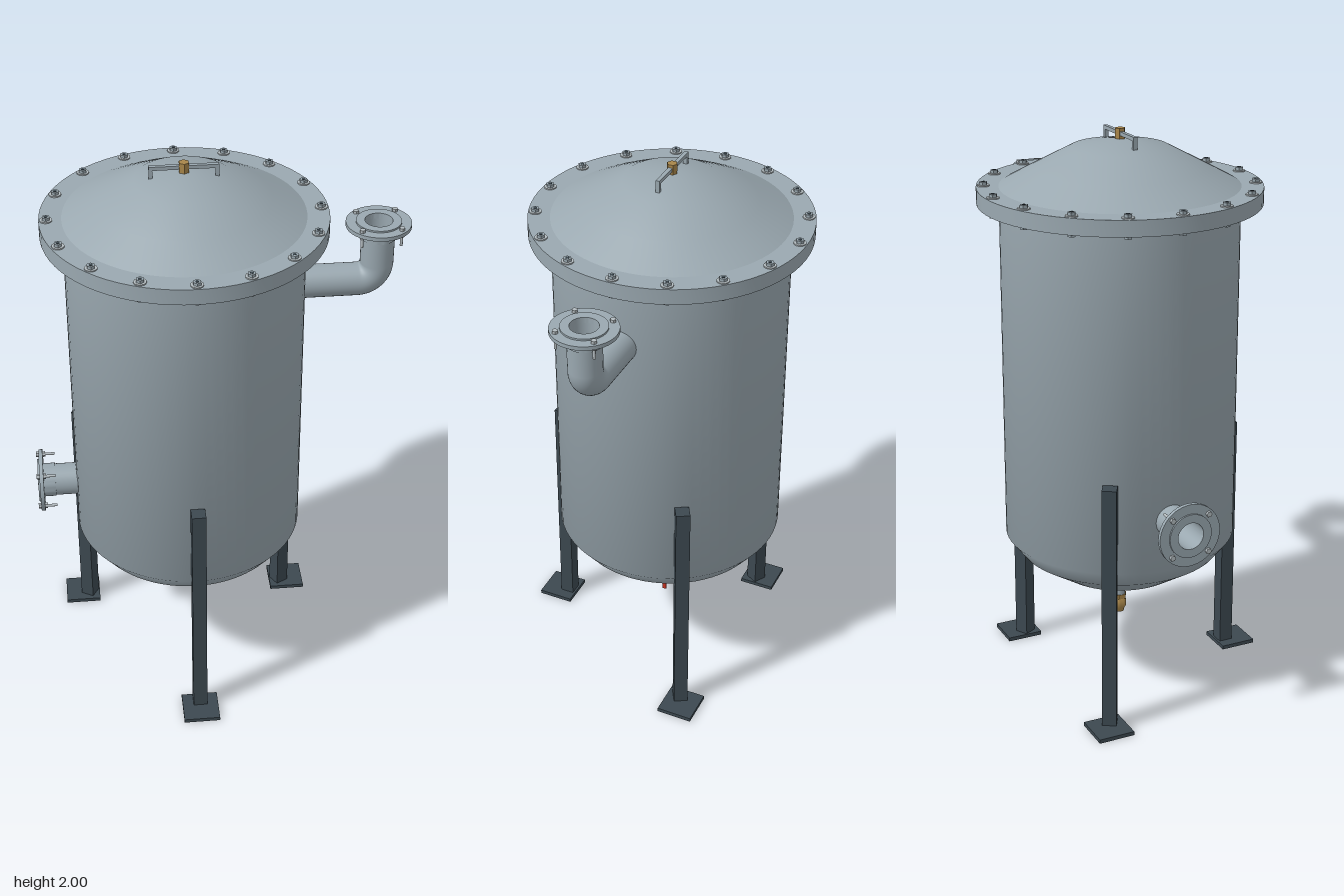
import * as THREE from 'three';
import { toCreasedNormals } from 'three/addons/utils/BufferGeometryUtils.js';

const mat = (color, side = THREE.FrontSide) => {
  const m = new THREE.MeshStandardMaterial({ side });
  m.color.set(color);
  return m;
};
const steel = mat(0x9aa8b0);
const steelThin = mat(0x9aa8b0, THREE.DoubleSide);
const boltSteel = mat(0xb4bcc0);
const legPaint = mat(0x3c4850);
const brass = mat(0xa8864a);
const red = mat(0xc03020);

const CX = -0.107, CZ = -0.025; // tank axis

function add(parent, name, geometry, material, x = 0, y = 0, z = 0) {
  const mesh = new THREE.Mesh(geometry, material);
  mesh.name = name;
  mesh.position.set(x, y, z);
  parent.add(mesh);
  return mesh;
}
const cyl = (r, h, n = 24) => new THREE.CylinderGeometry(r, r, h, n);
const box = (w, h, d) => new THREE.BoxGeometry(w, h, d);
const hex = (r, h) => toCreasedNormals(cyl(r, h, 6), 0.5);
function lathe(points, crease = 0.7, n = 64) {
  const g = new THREE.LatheGeometry(points.map(([r, y]) => new THREE.Vector2(r, y)), n);
  return toCreasedNormals(g, crease);
}

// Pipe flange facing +y, with its mating face at y = 0
function pipeFlange(name) {
  const g = new THREE.Group();
  g.name = name;
  add(g, 'flangePlate', lathe([
    [0.047, -0.06], [0.06, -0.06], [0.06, -0.018], [0.111, -0.018], [0.111, -0.004],
    [0.077, -0.004], [0.077, 0.002], [0.047, 0.002], [0.047, -0.06],
  ], 0.7, 48), steel);
  for (let i = 0; i < 4; i++) {
    const a = Math.PI / 4 + i * Math.PI / 2;
    const x = Math.cos(a) * 0.094, z = Math.sin(a) * 0.094;
    add(g, 'flangeStud', cyl(0.005, 0.062, 10), boltSteel, x, -0.03, z);
    add(g, 'flangeBoltHead', hex(0.01, 0.01), boltSteel, x, 0.001, z);
    add(g, 'flangeNut', hex(0.01, 0.009), boltSteel, x, -0.0225, z);
  }
  return g;
}

export function createModel() {
  const model = new THREE.Group();
  model.name = 'filterVessel';
  const tank = new THREE.Group();
  tank.name = 'tank';
  tank.position.set(CX, 0, CZ);
  model.add(tank);

  // Shell with dished bottom
  add(tank, 'shell', lathe([
    [0, 0.397], [0.225, 0.415], [0.355, 0.5], [0.405, 0.565], [0.405, 1.755],
  ], 1.2, 72), steelThin);

  // Lid: flat rim and shallow dome
  add(tank, 'rim', lathe([
    [0.40, 1.755], [0.48, 1.755], [0.48, 1.81], [0.39, 1.81],
  ], 0.7, 72), steelThin);
  add(tank, 'dome', lathe([
    [0.405, 1.81], [0.29, 1.872], [0.165, 1.938], [0, 1.968],
  ], 1, 72), steel);

  // Rim bolts
  for (let i = 0; i < 16; i++) {
    const a = i * Math.PI / 8;
    const bolt = new THREE.Group();
    bolt.name = 'rimBolt';
    bolt.position.set(Math.cos(a) * 0.455, 0, Math.sin(a) * 0.455);
    tank.add(bolt);
    add(bolt, 'washer', cyl(0.021, 0.004, 20), boltSteel, 0, 1.812, 0);
    add(bolt, 'boltHead', hex(0.014, 0.012), steel, 0, 1.818, 0);
    add(bolt, 'boltTip', cyl(0.006, 0.002, 12), legPaint, 0, 1.8245, 0);
    add(bolt, 'nut', hex(0.014, 0.01), steel, 0, 1.75, 0);
  }

  // Lid handle and brass vent plug
  add(tank, 'handleBar', box(0.23, 0.013, 0.014), steel, 0, 1.983, 0);
  for (const s of [-1, 1]) add(tank, 'handlePost', box(0.012, 0.046, 0.014), steel, s * 0.109, 1.966, 0);
  add(tank, 'ventPlug', hex(0.018, 0.038), brass, 0, 1.981, 0);

  // Legs set around the tank, with square feet aligned to the axes
  for (let i = 0; i < 3; i++) {
    const a = i * Math.PI * 2 / 3;
    const leg = add(tank, 'leg', box(0.05, 0.88, 0.05), legPaint, Math.sin(a) * 0.434, 0.452, Math.cos(a) * 0.434);
    leg.rotation.y = a;
    add(tank, 'foot', box(0.13, 0.014, 0.13), legPaint, Math.sin(a) * 0.466, 0.007, Math.cos(a) * 0.466);
  }

  // Upper outlet: pipe with an elbow up to a flange
  const ex = 0.545, ey = 1.527, R = 0.065, k = R * 0.448;
  const v = (x, y) => new THREE.Vector3(x, y, CZ);
  const path = new THREE.CurvePath();
  path.add(new THREE.LineCurve3(v(0.26, ey), v(ex - R, ey)));
  path.add(new THREE.CubicBezierCurve3(v(ex - R, ey), v(ex - k, ey), v(ex, ey + k), v(ex, ey + R)));
  path.add(new THREE.LineCurve3(v(ex, ey + R), v(ex, 1.73)));
  add(model, 'outletPipe', new THREE.TubeGeometry(path, 60, 0.057, 32), steelThin);
  add(model, 'outletBore', new THREE.TubeGeometry(path, 60, 0.047, 32), steelThin);
  const outlet = pipeFlange('outletFlange');
  outlet.position.set(ex, 1.748, CZ);
  model.add(outlet);

  // Lower inlet: straight pipe and flange facing -x
  const inletPipe = add(model, 'inletPipe', new THREE.CylinderGeometry(0.057, 0.057, 0.15, 32, 1, true), steelThin, -0.56, 0.746, CZ);
  inletPipe.rotation.z = Math.PI / 2;
  const inletBore = add(model, 'inletBore', new THREE.CylinderGeometry(0.047, 0.047, 0.15, 32, 1, true), steelThin, -0.56, 0.746, CZ);
  inletBore.rotation.z = Math.PI / 2;
  const inlet = pipeFlange('inletFlange');
  inlet.position.set(-0.647, 0.746, CZ);
  inlet.rotation.z = Math.PI / 2;
  model.add(inlet);

  // Drain pipe and ball valve
  add(tank, 'drainPipe', cyl(0.021, 0.11), steel, 0, 0.348, 0);
  add(tank, 'valveCollar', hex(0.026, 0.016), brass, 0, 0.287, 0);
  add(tank, 'valveBody', lathe([
    [0, 0.226], [0.016, 0.226], [0.018, 0.236], [0.025, 0.248], [0.025, 0.268], [0.018, 0.28], [0, 0.28],
  ], 0.9, 24), brass);
  const stem = add(tank, 'valveStem', cyl(0.007, 0.03, 12), brass, 0.03, 0.26, 0);
  stem.rotation.z = Math.PI / 2;
  add(tank, 'valveLever', box(0.006, 0.068, 0.014), red, 0.04, 0.235, 0);
  return model;
}
